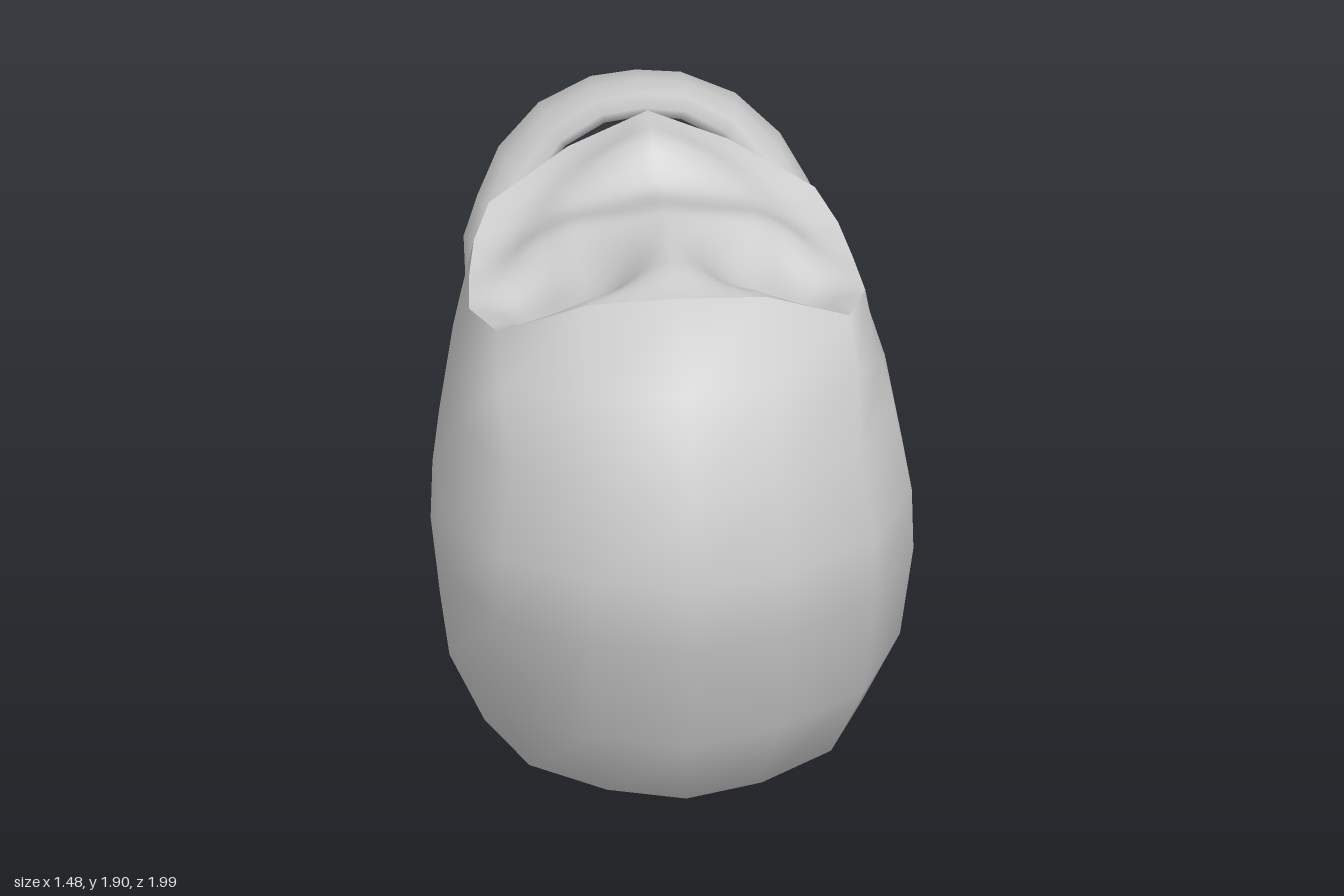
import * as THREE from 'three';
import { mergeVertices } from 'three/addons/utils/BufferGeometryUtils.js';

const material = new THREE.MeshStandardMaterial({ color: 0xcccccc, side: THREE.DoubleSide });
const V = (x, y, z) => new THREE.Vector3(x, y, z);
const { lerp, smoothstep } = THREE.MathUtils;

// Skin closed rings of points into one smooth surface
function loft(rings, name) {
  const n = rings[0].length, index = [];
  for (let i = 0; i < rings.length - 1; i++) {
    for (let j = 0; j < n; j++) {
      const k = (j + 1) % n;
      const a = i * n + j, b = i * n + k, c = b + n, d = a + n;
      index.push(a, b, c, a, c, d);
    }
  }
  let geometry = new THREE.BufferGeometry().setFromPoints(rings.flat());
  geometry.setIndex(index);
  geometry = mergeVertices(geometry);
  geometry.computeVertexNormals();
  const mesh = new THREE.Mesh(geometry, material);
  mesh.name = name;
  return mesh;
}

// Complete a ring from its left half (front centre to back centre)
const mirror = half => [
  ...half,
  ...half.slice(1, -1).reverse().map(p => V(-p.x, p.y, p.z)),
];

// Horizontal outline: [share of half width, share of depth from the front]
const outline = [[0, 0], [0.41, 0.055], [0.8, 0.18], [1, 0.39], [1, 0.61],
  [0.93, 0.83], [0.74, 0.93], [0.37, 0.99], [0, 1]];

// Body levels: half width, front z, front y, back z, back y
const levels = [
  [0, 0.07, 0, 0.07, 0],
  [0.33, 0.26, 0.025, -0.08, 0.04],
  [0.44, 0.5, 0.06, -0.22, 0.1],
  [0.59, 0.73, 0.17, -0.43, 0.31],
  [0.705, 0.88, 0.44, -0.5, 0.6],
  [0.74, 1, 0.85, -0.5, 0.85],
  [0.735, 0.99, 1.07, -0.48, 1.05],
  [0.685, 0.93, 1.35, -0.51, 1.33],
];

// Uneven shoulder and rim below the sunken top
const shoulder = [V(0, 1.64, 0.75), V(0.28, 1.62, 0.69), V(0.56, 1.55, 0.5),
  V(0.65, 1.43, 0.25), V(0.65, 1.43, -0.05), V(0.61, 1.45, -0.28),
  V(0.53, 1.5, -0.4), V(0.27, 1.55, -0.53), V(0, 1.55, -0.55)];
const rim = [V(0, 1.8, 0.43), V(0.28, 1.78, 0.41), V(0.55, 1.64, 0.31),
  V(0.62, 1.6, 0.09), V(0.6, 1.6, -0.12), V(0.57, 1.63, -0.28),
  V(0.51, 1.68, -0.42), V(0.25, 1.79, -0.555), V(0, 1.9, -0.565)];

function createBody() {
  const rings = levels.map(([w, zf, yf, zb, yb]) =>
    mirror(outline.map(([x, t]) => V(x * w, lerp(yf, yb, t), lerp(zf, zb, t)))));
  return loft([...rings, mirror(shoulder), mirror(rim)], 'body');
}

// Height of the top: a central ridge, a back crest and a steep hollow on each side
function topHeight(x, z) {
  const side = Math.abs(x);
  const r2 = ((side - 0.36) / 0.25) ** 2 + ((z - 0.14) / 0.21) ** 2;
  const hollow = 0.13 * Math.exp(-r2 * r2);
  const crest = 0.12 * smoothstep(-z, 0.28, 0.43) * (1 - smoothstep(side, 0.02, 0.4));
  const dip = 0.05 * smoothstep(-z, 0.05, 0.28);
  return 1.83 - dip + crest - 0.18 * side - 0.35 * Math.max(0, side - 0.3) - hollow;
}

function createTop() {
  // Subdivide the rim so the hollows are smooth while the edges still meet
  const edge = mirror(rim), fine = [];
  edge.forEach((p, i) => {
    for (let k = 0; k < 4; k++) fine.push(p.clone().lerp(edge[(i + 1) % edge.length], k / 4));
  });
  const rings = [];
  for (let i = 0; i <= 16; i++) {
    const s = 1 - i / 16;
    rings.push(fine.map(p => {
      const x = p.x * s, z = lerp(-0.06, p.z, s);
      return V(x, lerp(topHeight(x, z), p.y, smoothstep(s, 0.65, 1)), z);
    }));
  }
  return loft(rings, 'sunkenTop');
}

function createHandle() {
  // Inner and outer edges of the strap, from hanging end to the middle
  const inner = [V(0.52, 1, -0.34), V(0.53, 1.06, -0.3), V(0.53, 1.35, -0.31),
    V(0.47, 1.42, -0.46), V(0.42, 1.51, -0.55), V(0.37, 1.6, -0.63),
    V(0.26, 1.73, -0.69), V(0.13, 1.81, -0.7), V(0, 1.83, -0.7)];
  const outer = [V(0.51, 1.01, -0.47), V(0.52, 1.1, -0.56), V(0.53, 1.27, -0.61),
    V(0.55, 1.42, -0.66), V(0.5, 1.5, -0.76), V(0.42, 1.61, -0.87),
    V(0.29, 1.71, -0.94), V(0.13, 1.76, -0.985), V(0, 1.77, -0.99)];
  const whole = half => [...half, ...half.slice(0, -1).reverse().map(p => V(-p.x, p.y, p.z))];
  const a = whole(inner), b = whole(outer);
  const mids = a.map((p, i) => p.clone().add(b[i]).multiplyScalar(0.5));
  const rings = mids.map((mid, i) => {
    const u = b[i].clone().sub(a[i]).multiplyScalar(0.5);
    const along = mids[Math.min(i + 1, mids.length - 1)].clone().sub(mids[Math.max(i - 1, 0)]);
    const n = along.cross(u).normalize().multiplyScalar(0.048);
    const round = v => Math.sign(v) * Math.abs(v) ** 0.7;
    return Array.from({ length: 8 }, (_, k) => {
      const t = k * Math.PI / 4;
      return mid.clone().addScaledVector(u, round(Math.cos(t))).addScaledVector(n, round(Math.sin(t)));
    });
  });
  // Close both ends
  const cap = m => Array.from({ length: 8 }, () => m.clone());
  return loft([cap(mids[0]), ...rings, cap(mids[mids.length - 1])], 'handle');
}

export function createModel() {
  const model = new THREE.Group();
  model.name = 'handledVessel';
  model.add(createBody(), createTop(), createHandle());
  return model;
}
